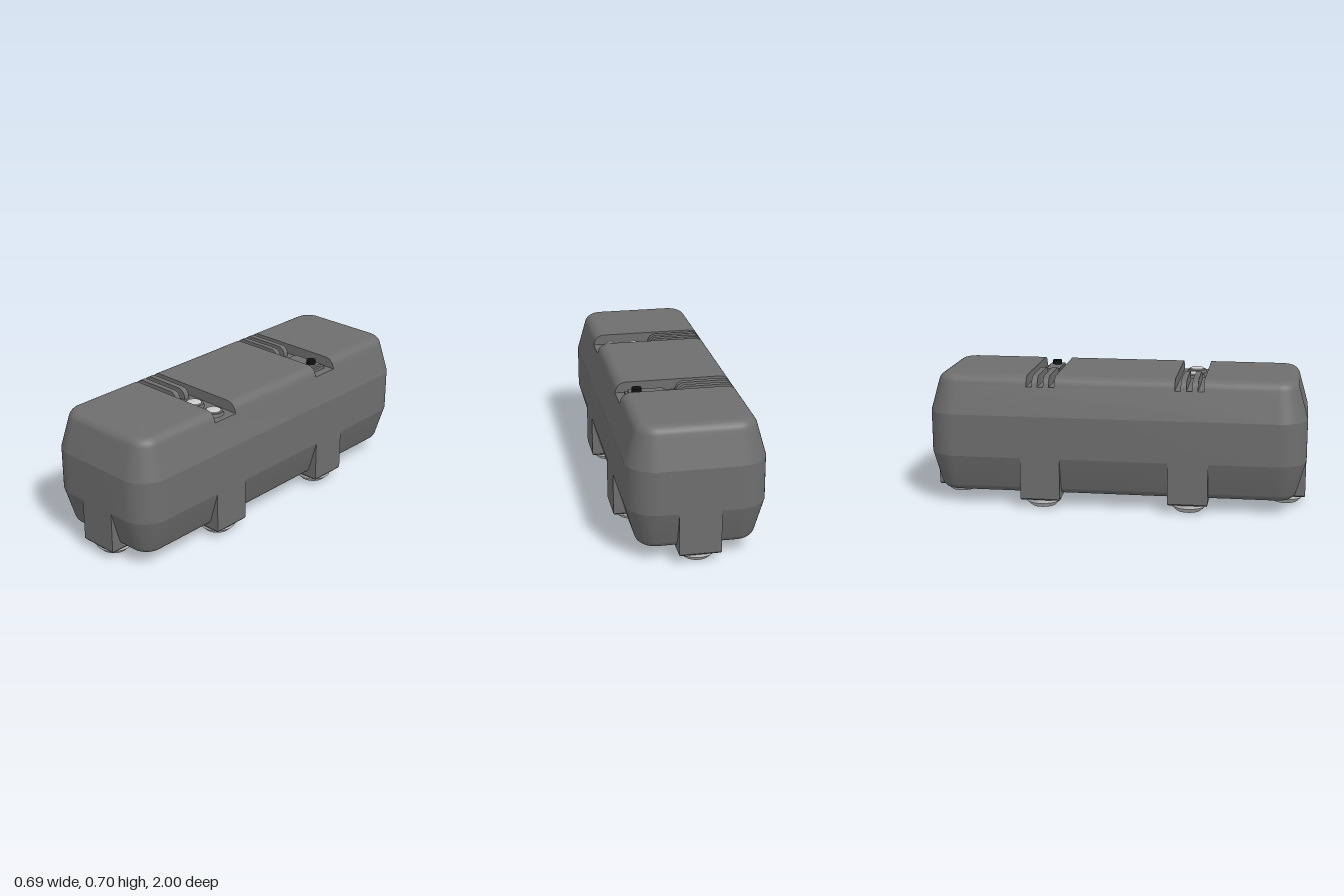
import * as THREE from 'three';
import { toCreasedNormals } from 'three/addons/utils/BufferGeometryUtils.js';

const HX = 0.347, HZ = 1, CORNER = 0.15;      // body half sizes and plan corner radius
const TOP = 0.705, BOTTOM = 0.07, FLOOR = 0.65; // FLOOR is the bottom of the roof slots
const SLOT_Z = 0.39, SLOT_HALF = 0.075;
const FILLET = 0.055, INSET = 0.1, START = 16 * Math.PI / 180;

// rounded edge as [inset, distance below the top]
const edge = [];
for (let i = 0; i <= 12; i++) {
  const a = START + (Math.PI / 2 - START) * i / 12;
  edge.push([INSET - FILLET * Math.cos(a), FILLET - FILLET * Math.sin(a)]);
}
const slope = edge[0][0] / (TOP - edge[0][1] - 0.5);
const FLOOR_INSET = slope * (FLOOR - 0.5);

// rounded rectangle at one level, clamped to a range of z
function ring([inset, y], z0, z1) {
  const pts = [], r = CORNER - inset, n = 14;
  const corners = [[1, 1], [-1, 1], [-1, -1], [1, -1]];
  corners.forEach(([sx, sz], k) => {
    for (let i = 0; i <= n; i++) {
      const a = (k + i / n) * Math.PI / 2;
      const x = sx * (HX - CORNER) + r * Math.cos(a);
      const z = sz * (HZ - CORNER) + r * Math.sin(a);
      pts.push(new THREE.Vector3(x, y, Math.min(z1, Math.max(z0, z))));
    }
  });
  return pts;
}

// skin over stacked rings, from bottom to top
function loft(levels, z0, z1, closeBottom) {
  const rings = levels.map(l => ring(l, z0, z1)), pos = [];
  const ab = new THREE.Vector3(), ac = new THREE.Vector3();
  const tri = (a, b, c) => {
    ab.subVectors(b, a); ac.subVectors(c, a);
    if (ab.cross(ac).length() > 1e-9) for (const p of [a, b, c]) pos.push(p.x, p.y, p.z);
  };
  const n = rings[0].length, last = rings[rings.length - 1];
  const mid = y => new THREE.Vector3(0, y, (z0 + z1) / 2);
  for (let i = 0; i < n; i++) {
    const k = (i + 1) % n;
    for (let j = 0; j < rings.length - 1; j++) {
      const lo = rings[j], hi = rings[j + 1];
      tri(lo[i], hi[i], hi[k]);
      tri(lo[i], hi[k], lo[k]);
    }
    tri(mid(last[0].y), last[k], last[i]);
    if (closeBottom) tri(mid(rings[0][0].y), rings[0][i], rings[0][k]);
  }
  const g = new THREE.BufferGeometry();
  g.setAttribute('position', new THREE.Float32BufferAttribute(pos, 3));
  return toCreasedNormals(g, 0.22);
}

export function createModel() {
  const model = new THREE.Group();
  model.name = 'device';
  const dark = new THREE.MeshStandardMaterial({ color: 0x6e6e6e });
  const light = new THREE.MeshStandardMaterial({ color: 0xcccccc });
  const black = new THREE.MeshStandardMaterial({ color: 0x111111 });
  const add = (name, geo, mat, x = 0, y = 0, z = 0, parent = model) => {
    const m = new THREE.Mesh(geo, mat);
    m.name = name;
    m.position.set(x, y, z);
    parent.add(m);
    return m;
  };

  // lower body, up to the slot floor
  const under = edge.map(([i, d]) => [i, BOTTOM + d]).reverse();
  add('lowerBody', loft([...under, [0, 0.275], [0, 0.5], [FLOOR_INSET, FLOOR]], -HZ, HZ, true), dark);

  // three roof sections with two slots between them
  const roof = [[FLOOR_INSET, FLOOR], ...edge.map(([i, d]) => [i, TOP - d])];
  const a = SLOT_Z - SLOT_HALF, b = SLOT_Z + SLOT_HALF;
  add('roofFront', loft(roof, b, HZ, false), dark);
  add('roofMiddle', loft(roof, -a, a, false), dark);
  add('roofBack', loft(roof, -HZ, -b, false), dark);

  // pairs of fins in each slot, rounded down at the inner end
  const fin = new THREE.Shape();
  fin.moveTo(0, FLOOR);
  fin.lineTo(0, TOP - 0.045);
  fin.absarc(-0.045, TOP - 0.045, 0.045, 0, Math.PI / 2, false);
  for (const [inset, y] of roof.slice().reverse()) fin.lineTo(-HX + inset, y);
  const finGeo = toCreasedNormals(
    new THREE.ExtrudeGeometry(fin, { depth: 0.03, bevelEnabled: false, curveSegments: 10 }), 0.4);
  for (const s of [1, -1])
    for (const o of [-0.03, 0.03]) add('fin', finGeo, dark, 0, 0, s * SLOT_Z + o - 0.015);

  // two round lamps in the front slot
  const rim = new THREE.CylinderGeometry(0.048, 0.054, 0.016, 32);
  const lens = toCreasedNormals(new THREE.LatheGeometry([
    [0.038, 0], [0.038, 0.008], [0.03, 0.012], [0, 0.013]
  ].map(p => new THREE.Vector2(...p)), 32), 0.5);
  for (const x of [0.083, 0.22]) {
    add('lampRim', rim, dark, x, FLOOR + 0.008, SLOT_Z);
    add('lampLens', lens, light, x, FLOOR + 0.014, SLOT_Z);
  }

  // switch plate and knob in the back slot
  add('switchBase', new THREE.BoxGeometry(0.208, 0.016, 0.1), dark, 0.155, FLOOR + 0.008, -SLOT_Z);
  add('switchPlate', new THREE.BoxGeometry(0.18, 0.012, 0.072), dark, 0.155, FLOOR + 0.022, -SLOT_Z);
  add('knob', new THREE.CylinderGeometry(0.025, 0.025, 0.022, 24), black, 0.205, FLOOR + 0.039, -SLOT_Z);

  // six legs with round feet
  const W = 0.21;
  const block = new THREE.BoxGeometry(W, 0.22, W);
  const chamfer = new THREE.CylinderGeometry(W / Math.SQRT2, (W - 0.01) / Math.SQRT2, 0.007, 4)
    .rotateY(Math.PI / 4).toNonIndexed();
  chamfer.computeVertexNormals();
  const foot = toCreasedNormals(new THREE.LatheGeometry([
    [0, 0], [0.065, 0], [0.093, 0.027], [0.093, 0.045], [0.088, 0.05]
  ].map(p => new THREE.Vector2(...p)), 40), 0.4);
  const spots = [[0, HZ - W / 2], [0, -HZ + W / 2]];
  for (const sx of [1, -1]) for (const sz of [1, -1]) spots.push([sx * (HX - W / 2), sz * SLOT_Z]);
  for (const [x, z] of spots) {
    const leg = new THREE.Group();
    leg.name = 'leg';
    leg.position.set(x, 0, z);
    model.add(leg);
    add('legBlock', block, dark, 0, 0.165, 0, leg);
    add('legChamfer', chamfer, dark, 0, 0.0515, 0, leg);
    add('foot', foot, light, 0, 0, 0, leg);
  }
  return model;
}
